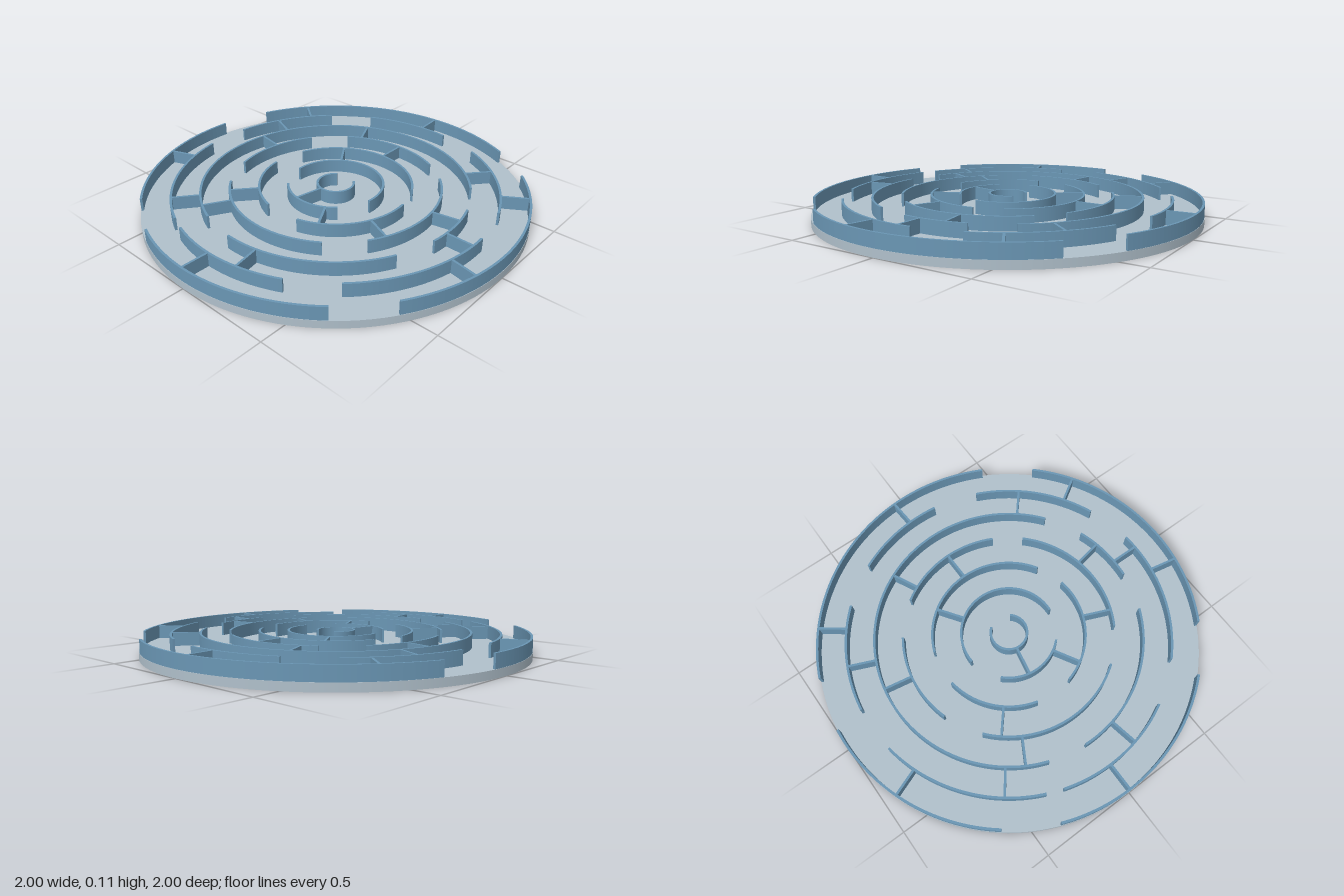
import * as THREE from 'three';

const BASE_H = 0.04, WALL_H = 0.07, THICK = 0.012;
const rad = THREE.MathUtils.degToRad;

// Each ring: radius, then the wall arcs as [start, end] in degrees,
// counterclockwise seen from above with 0 at +x and 90 at the back
const RINGS = [
  { r: 0.095, arcs: [[127, 410]] },
  { r: 0.248, arcs: [[-6, 184], [224, 314]] },
  { r: 0.398, arcs: [[31, 160], [187, 255], [-76, 9]] },
  { r: 0.55, arcs: [[63, 124.6], [147, 198], [220, 305.4], [-32.5, 46]] },
  { r: 0.698, arcs: [[37, 250], [-93.5, -25.4], [-8, 19.3]] },
  { r: 0.845, arcs: [[83, 117], [133.6, 173], [189.6, 246], [252, 296.6], [-46.2, 4.5], [21.2, 66.3]] },
  { r: 0.992, arcs: [[62.5, 158.3], [175, 231.7], [248.2, 310.3], [-32.8, 46]] },
];

// Angles of the straight walls between each ring and the next one out
const SPOKES = [
  [259],
  [125, -60],
  [90.5, -23, 229.8],
  [116, 10.5, 169.7, 240.5],
  [50, 156.5, -0.5, 232.3, -79],
  [93.7, 142.5, 32.5, -11, 200.7, 269.6],
];

// Curved wall: an annular sector raised from the base
function arcWall(r, [from, to], material) {
  const a = rad(from), b = rad(to);
  const shape = new THREE.Shape();
  shape.absarc(0, 0, r + THICK / 2, a, b, false);
  shape.absarc(0, 0, r - THICK / 2, b, a, true);
  const geometry = new THREE.ExtrudeGeometry(shape, {
    depth: WALL_H,
    bevelEnabled: false,
    curveSegments: Math.max(8, Math.ceil((to - from) / 3)),
  });
  geometry.rotateX(-Math.PI / 2).translate(0, BASE_H, 0);
  const mesh = new THREE.Mesh(geometry, material);
  mesh.name = 'curvedWall';
  return mesh;
}

// Straight wall joining two neighbouring rings
function spokeWall(r0, r1, angle, material) {
  const geometry = new THREE.BoxGeometry(r1 - r0, WALL_H - 0.001, THICK);
  geometry.translate((r0 + r1) / 2, BASE_H + (WALL_H - 0.001) / 2, 0);
  const mesh = new THREE.Mesh(geometry, material);
  mesh.rotation.y = rad(angle);
  mesh.name = 'straightWall';
  return mesh;
}

export function createModel() {
  const model = new THREE.Group();
  model.name = 'circularMaze';

  const baseMaterial = new THREE.MeshStandardMaterial({ color: 0xb0c0cb });
  baseMaterial.name = 'paleBlueGrey';
  const wallMaterial = new THREE.MeshStandardMaterial({ color: 0x6a96b4 });
  wallMaterial.name = 'steelBlue';

  // Round floor plate
  const base = new THREE.Mesh(new THREE.CylinderGeometry(1, 1, BASE_H, 128), baseMaterial);
  base.position.y = BASE_H / 2;
  base.name = 'base';
  model.add(base);

  // Concentric walls and the spokes leading outward from each ring
  RINGS.forEach(({ r, arcs }, i) => {
    const ring = new THREE.Group();
    ring.name = `ring${i + 1}`;
    arcs.forEach((arc) => ring.add(arcWall(r, arc, wallMaterial)));
    (SPOKES[i] || []).forEach((angle) => ring.add(spokeWall(r, RINGS[i + 1].r, angle, wallMaterial)));
    model.add(ring);
  });

  return model;
}
